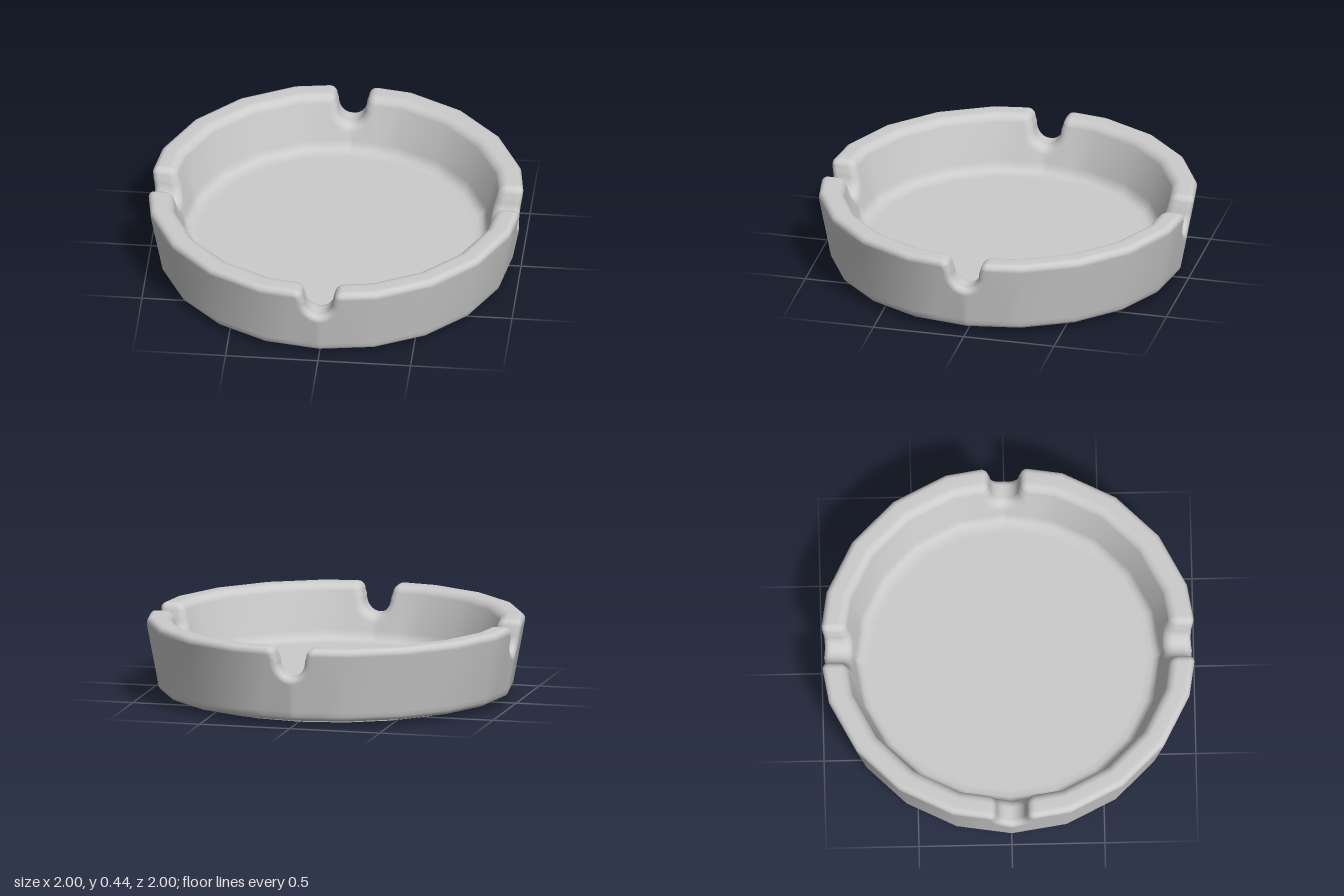
import * as THREE from 'three';

const SIDES = 20, STEP = (2 * Math.PI) / SIDES;
const RIM_Y = 0.437, ROUND = 0.04;
const SLOPE = Math.tan(STEP / 2); // how far a facet falls back per unit sideways

// wall radii at height y
const outerR = y => 0.955 + 0.065 * (y - 0.055) / 0.345;
const innerR = y => 0.82 + 0.29 * (y - 0.18);

// Half of a notch outline: sideways u, height h, outward normal (nu, nh)
function notchOutline() {
  const pts = [];
  for (let i = 0; i <= 8; i++) { // rounded bottom
    const a = (i / 8) * Math.PI / 2, s = Math.sin(a), c = Math.cos(a);
    const n = new THREE.Vector2(-s / 0.077, c / 0.095).normalize();
    pts.push({ u: 0.077 * s, h: 0.37 - 0.095 * c, nu: n.x, nh: n.y });
  }
  for (let i = 0; i <= 6; i++) { // shoulder turning into the rim
    const a = (i / 6) * Math.PI / 2, s = Math.sin(a), c = Math.cos(a);
    pts.push({ u: 0.13 - 0.045 * c, h: RIM_Y - 0.045 + 0.045 * s, nu: -c, nh: s });
  }
  pts.forEach((p, i) => { p.t = 0.62 * i / (pts.length - 1); p.angle = 0; });
  return pts;
}

// Stations around the dish: four notches with plain corners between them
function stations() {
  const half = notchOutline();
  const mirrored = half.slice(1).reverse().map(p => ({ ...p, u: -p.u, nu: -p.nu, t: -p.t }));
  const corner = k => ({ u: 0, h: RIM_Y, nu: 0, nh: 1, t: 0, angle: k * STEP });
  const quarter = [corner(-1), ...mirrored, ...half, corner(1), corner(2), corner(3)];
  const all = [];
  for (let q = 0; q < 4; q++)
    for (const s of quarter) all.push({ ...s, angle: s.angle + q * Math.PI / 2 });
  return all;
}

// Cross-section at one station, from under the dish, over the rim, to the floor
function section(s) {
  const out = [];
  const put = (r, y, u) => {
    const z = r - SLOPE * Math.abs(u), c = Math.cos(s.angle), n = Math.sin(s.angle);
    out.push([u * c + z * n, y, z * c - u * n]);
  };
  const low = (r, y) => put(r, y, s.t * Math.sin(STEP) * r);
  const rim = (a, radius, sign) => {
    const d = ROUND * (1 - Math.sin(a)), y = s.h - s.nh * d;
    put(radius(y) - sign * ROUND * (1 - Math.cos(a)), y, s.u - s.nu * d);
  };
  [[0.001, 0.028], [0.78, 0.028], [0.9, 0.028], [0.925, 0.03], [0.945, 0.04], [0.955, 0.055]]
    .forEach(p => low(...p));
  low(outerR(0.08), 0.08);
  for (let i = 0; i <= 5; i++) rim((i / 5) * Math.PI / 2, outerR, 1);
  for (let i = 5; i >= 0; i--) rim((i / 5) * Math.PI / 2, innerR, -1);
  [[0.825, 0.197], [0.818, 0.175], [0.804, 0.152], [0.78, 0.14], [0.74, 0.138], [0.001, 0.138]]
    .forEach(p => low(...p));
  return out;
}

function dishGeometry() {
  const cols = stations().map(section);
  const rows = cols[0].length, index = [];
  cols.forEach((_, i) => {
    const a = i * rows, b = ((i + 1) % cols.length) * rows;
    for (let j = 0; j < rows - 1; j++)
      index.push(a + j, b + j, b + j + 1, a + j, b + j + 1, a + j + 1);
  });
  const geo = new THREE.BufferGeometry();
  geo.setAttribute('position', new THREE.Float32BufferAttribute(cols.flat(2), 3));
  geo.setIndex(index);
  geo.computeVertexNormals();
  return geo;
}

export function createModel() {
  const group = new THREE.Group();
  const material = new THREE.MeshStandardMaterial({ color: 0xcccccc });

  // dish with rounded rim and four notches
  const dish = new THREE.Mesh(dishGeometry(), material);
  dish.name = 'notchedDish';
  group.add(dish);

  // shallow foot under the dish
  const foot = new THREE.Mesh(new THREE.CylinderGeometry(0.803, 0.797, 0.03, SIDES), material);
  foot.name = 'foot';
  foot.position.y = 0.015;
  group.add(foot);

  return group;
}
